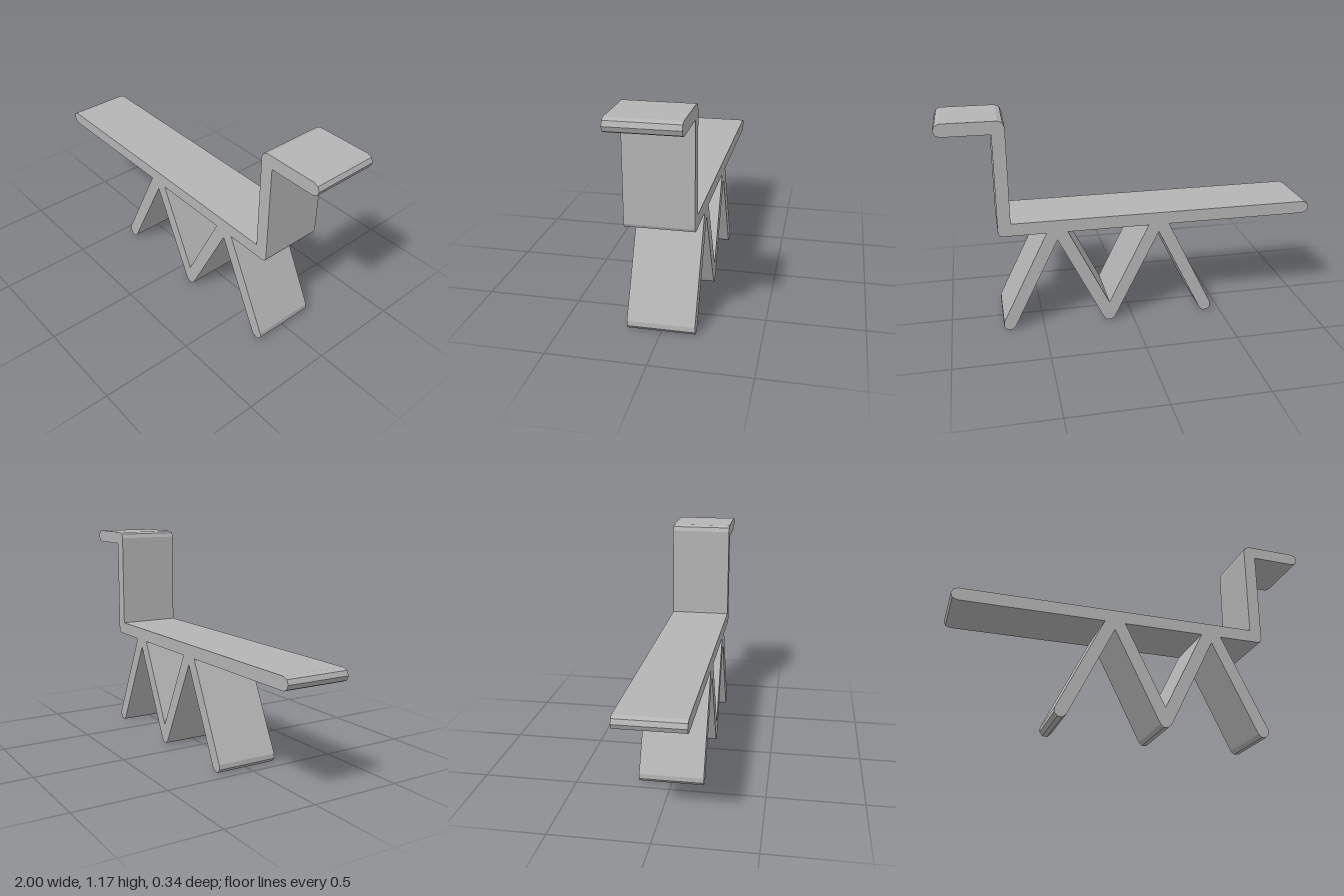
import * as THREE from 'three';

const H = 0.034;     // half the board thickness
const DEPTH = 0.345; // board width along z
const LEAN = 26.7;   // leg lean from vertical, degrees

// Faceted arc as a list of points, angles in degrees
function arc(cx, cy, from, to, r = H) {
  const n = Math.max(2, Math.round((to - from) / 45));
  return Array.from({ length: n + 1 }, (_, i) => {
    const a = THREE.MathUtils.degToRad(from + ((to - from) * i) / n);
    return new THREE.Vector2(cx + r * Math.cos(a), cy + r * Math.sin(a));
  });
}

const point = (x, y) => new THREE.Vector2(x, y);

export function createModel() {
  const group = new THREE.Group();
  group.name = 'foldedBoard';
  const grey = new THREE.MeshStandardMaterial({ color: 0xb4b4b4, flatShading: true });
  grey.name = 'grey';

  // Side outline, counter-clockwise from the rounded tail
  const outline = new THREE.Shape([
    ...arc(-0.966, 0.59, 90, 270),
    // zigzag legs
    point(-0.196, 0.556),
    ...arc(-0.416, H, 180 - LEAN, 360 - LEAN),
    point(-0.14, 0.514),
    ...arc(0.136, H, 180 + LEAN, 360 - LEAN),
    point(0.412, 0.514),
    ...arc(0.688, H, 180 + LEAN, 360 + LEAN),
    point(0.468, 0.556),
    // neck and head shelf
    ...arc(0.698, 0.578, 270, 360, 0.022),
    point(0.72, 1.107),
    ...arc(0.966, 1.141, 270, 450),
    ...arc(0.686, 1.141, 90, 180),
    point(0.652, 0.624),
  ]);

  // Opening between the middle legs and the seat
  outline.holes.push(new THREE.Path([
    point(-0.084, 0.556), point(0.356, 0.556), point(0.136, 0.11),
  ]));

  const geometry = new THREE.ExtrudeGeometry(outline, { depth: DEPTH, bevelEnabled: false });
  geometry.translate(0, 0, -DEPTH / 2);
  const board = new THREE.Mesh(geometry, grey);
  board.name = 'boardWithLegs';
  group.add(board);
  return group;
}
